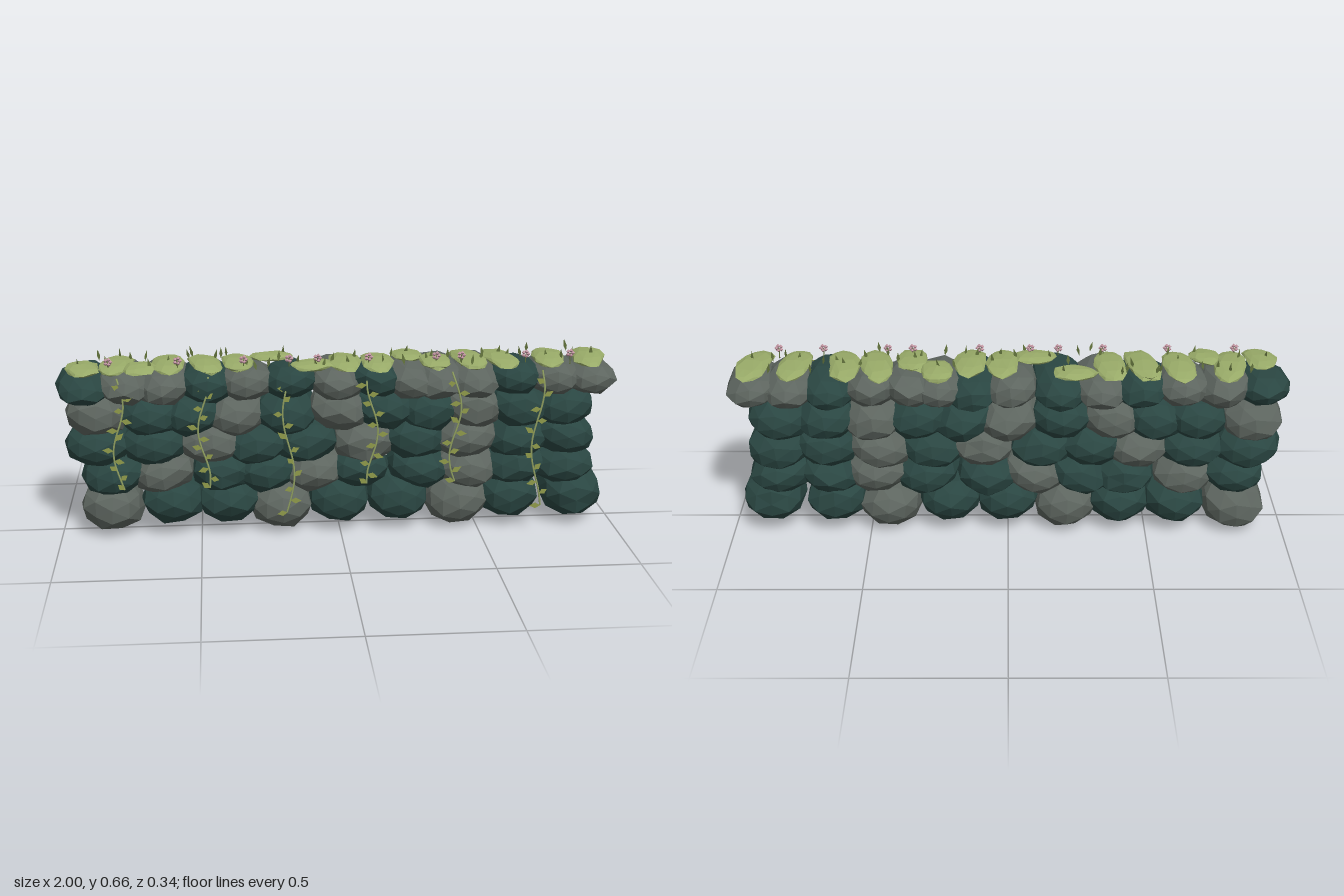
import * as THREE from 'three';

const mat = (name, color, side = THREE.FrontSide) => {
  const m = new THREE.MeshStandardMaterial({ color, side });
  m.name = name;
  return m;
};

let seed = 7;
const rand = (a = 0, b = 1) => {
  seed = (seed * 16807) % 2147483647;
  return a + (b - a) * (seed / 2147483647);
};

// Faceted boulder: each corner is pushed by a rule of its own position, so faces stay joined.
// droop bends the ends down along z.
function boulder(rx, ry, rz, power, phase, rough = 0.05, droop = 0) {
  const g = new THREE.IcosahedronGeometry(1, 1);
  const p = g.attributes.position;
  for (let i = 0; i < p.count; i++) {
    const [x, y, z] = [p.getX(i), p.getY(i), p.getZ(i)];
    const k = 1 + rough * Math.sin(x * 5.3 + phase) * Math.cos(y * 4.7 + z * 6.1 + phase * 1.7);
    const zz = Math.sign(z) * Math.pow(Math.abs(z), power) * rz * k;
    p.setXYZ(i, x * rx * k, y * ry * k - droop * zz * zz, zz);
  }
  g.computeVertexNormals(); // non-indexed, so flat facets
  return g;
}

// Pointed leaf or blade
function blade(w, h) {
  const s = new THREE.Shape();
  s.moveTo(0, 0);
  s.lineTo(w / 2, h * 0.45);
  s.lineTo(0, h);
  s.lineTo(-w / 2, h * 0.45);
  return new THREE.ShapeGeometry(s);
}

export function createModel() {
  seed = 7;
  const wall = new THREE.Group();
  wall.name = 'mossyStoneWall';
  const dark = mat('darkStone', 0x2a4642);
  const grey = mat('greyStone', 0x5d655f);
  const moss = mat('moss', 0x98aa68);
  const vineGreen = mat('vine', 0x95a566);
  const leafGreen = mat('leaf', 0x8f9a4a, THREE.DoubleSide);
  const grassGreen = mat('grass', 0x66773f, THREE.DoubleSide);
  const pink = mat('petal', 0xc498a4);

  const add = (parent, name, geo, material, x = 0, y = 0, z = 0) => {
    const m = new THREE.Mesh(geo, material);
    m.name = name;
    m.position.set(x, y, z);
    parent.add(m);
    return m;
  };
  const group = (name) => {
    const g = new THREE.Group();
    g.name = name;
    wall.add(g);
    return g;
  };

  // One course of stones; pattern holds g for grey and d for dark, sink lowers the grey ones
  const layCourse = (name, { y, ry, rx, rz, z = -0.008, sink = 0, tilt, xs, pattern }) => {
    const course = group(name);
    xs.forEach((x, i) => {
      const isGrey = pattern[i] === 'g';
      const s = add(course, 'stone', boulder(rx, ry, rz, 0.72, y * 30 + i * 2.1), isGrey ? grey : dark,
        x, y - (isGrey ? sink : 0), z);
      s.rotation.set(rand(-0.12, 0.12), rand(-0.05, 0.05), rand(-tilt, tilt));
    });
  };

  // Body courses from the ground up
  layCourse('baseCourse', { y: 0.12, ry: 0.093, rx: 0.118, rz: 0.15, sink: 0.022, tilt: 0.12, pattern: 'gddgddgdd',
    xs: [-0.82, -0.6, -0.4, -0.21, 0, 0.21, 0.43, 0.62, 0.855] });
  layCourse('secondCourse', { y: 0.225, ry: 0.08, rx: 0.118, rz: 0.148, tilt: 0.18, pattern: 'dgddgddgdd',
    xs: [-0.81, -0.63, -0.42, -0.26, -0.09, 0.07, 0.29, 0.47, 0.64, 0.82] });
  layCourse('thirdCourse', { y: 0.333, ry: 0.083, rx: 0.121, rz: 0.148, tilt: 0.2, pattern: 'ddgddgdgdd',
    xs: [-0.86, -0.66, -0.46, -0.3, -0.12, 0.09, 0.27, 0.46, 0.65, 0.82] });
  layCourse('fourthCourse', { y: 0.443, ry: 0.084, rx: 0.115, rz: 0.148, tilt: 0.18, pattern: 'gddgdgddgdd',
    xs: [-0.865, -0.67, -0.52, -0.37, -0.19, 0, 0.16, 0.32, 0.48, 0.65, 0.815] });

  // Capping stones laid across the wall, with flatter ones at both ends
  layCourse('capStones', { y: 0.555, ry: 0.068, rx: 0.102, rz: 0.162, z: 0, tilt: 0.12, pattern: 'ggdgdgdgggdg',
    xs: [-0.76, -0.62, -0.47, -0.33, -0.18, -0.01, 0.13, 0.25, 0.35, 0.48, 0.63, 0.77] });
  layCourse('endCaps', { y: 0.553, ry: 0.061, rx: 0.1, rz: 0.16, z: 0, tilt: 0.03, pattern: 'dg', xs: [-0.9, 0.9] });

  // Flattened moss pads: [x, z, half length]
  const pads = group('mossPads');
  [[-0.9, 0.055, 0.09], [-0.785, 0, 0.13], [-0.705, 0.07, 0.07], [-0.605, 0, 0.13], [-0.475, 0.01, 0.13],
    [-0.36, 0, 0.12], [-0.235, -0.065, 0.055], [-0.1, 0.07, 0.06], [0.02, 0.02, 0.12], [0.135, 0.03, 0.12],
    [0.25, -0.045, 0.085], [0.34, 0.04, 0.1], [0.465, 0.005, 0.135], [0.58, 0.01, 0.13], [0.755, 0.01, 0.13],
    [0.9, 0.01, 0.13]].forEach(([x, z, rz], i) => {
    const rx = rz < 0.065 ? 0.078 : 0.058;
    const m = add(pads, 'mossPad', boulder(rx, 0.015, rz, 0.8, i * 2.7, 0.1, 0.6), moss, x, 0.621, z);
    m.rotation.set(z * 0.6, rand(-0.25, 0.25), rand(-0.05, 0.05));
  });

  // Hanging vines evenly spaced on the front, every third reaching lower
  const vines = group('hangingVines');
  for (let i = 0; i < 6; i++) {
    const x = -0.78 + i * 0.296;
    const drop = i % 3 === 2 ? 0.5 : 0.4;
    const at = (t) => new THREE.Vector3(x + 0.02 * Math.sin(t * 7 + i * 1.4), 0.6 - drop * t,
      0.13 + 0.018 * Math.min(1, t * 8));
    const path = new THREE.CatmullRomCurve3(Array.from({ length: 9 }, (_, k) => at(k / 8)));
    add(vines, 'vineStem', new THREE.TubeGeometry(path, 24, 0.0035, 5), vineGreen);
    for (let k = 1; k < 12; k++) {
      const p = at(k / 11);
      const leaf = add(vines, 'vineLeaf', blade(0.022, rand(0.03, 0.042)), leafGreen, p.x, p.y, p.z + 0.004);
      leaf.rotation.z = (k % 2 ? 1 : -1) * rand(0.8, 1.9);
    }
  }

  // Grass blades along the top
  const grass = group('grassBlades');
  for (let i = 0; i < 46; i++) {
    const b = add(grass, 'grassBlade', blade(0.013, rand(0.035, 0.046)), grassGreen,
      -0.9 + i * 0.04 + rand(-0.02, 0.02), 0.617, rand(-0.09, 0.13));
    b.rotation.set(0, rand(-0.9, 0.9), rand(-0.3, 0.3));
  }

  // Small pink flowers in a line near the front edge
  const flowers = group('flowers');
  [-0.81, -0.57, -0.34, -0.18, -0.08, 0.1, 0.34, 0.43, 0.66, 0.82].forEach((x) => {
    add(flowers, 'flowerStem', new THREE.CylinderGeometry(0.002, 0.002, 0.04, 5), grassGreen, x, 0.628, 0.085);
    for (let k = 0; k < 5; k++) {
      const a = (k * Math.PI * 2) / 5;
      add(flowers, 'petal', new THREE.OctahedronGeometry(0.008), pink,
        x + 0.009 * Math.cos(a), 0.648 + 0.009 * Math.sin(a), 0.085);
    }
  });

  return wall;
}
